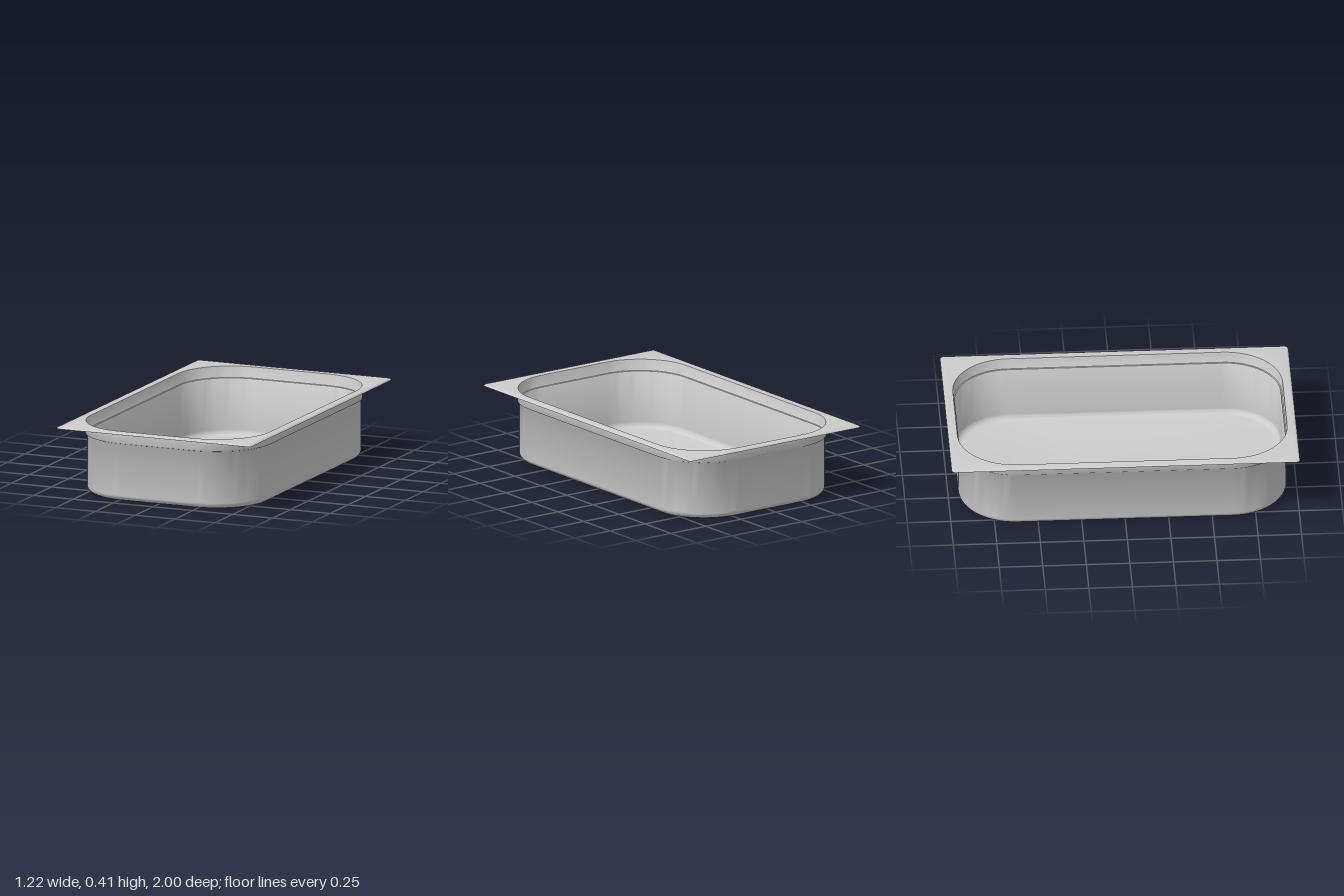
import * as THREE from 'three';
import { toCreasedNormals } from 'three/addons/utils/BufferGeometryUtils.js';

const material = new THREE.MeshStandardMaterial({ color: 0xcccccc });
const ARC = 16; // segments per rounded corner

// Horizontal rounded rectangle with half sizes hx, hz and corner radius r
function ring(hx, hz, r, y) {
  const points = [];
  for (let q = 0; q < 4; q++) {
    const sx = q === 0 || q === 3 ? 1 : -1;
    const sz = q < 2 ? 1 : -1;
    for (let i = 0; i <= ARC; i++) {
      const a = (q + i / ARC) * Math.PI / 2;
      points.push([sx * (hx - r) + r * Math.cos(a), y, sz * (hz - r) + r * Math.sin(a)]);
    }
  }
  return points;
}

// Ring of the basin wall, inset d from the mouth
const wall = (d, y) => ring(0.565 - d, 0.952 - d, 0.335 - d, y);
// Ring of the flange edge, inset d from its outermost line
const edge = (d, y) => ring(0.612 - d, 1 - d, 0.022 - d, y);
const centre = (y) => ring(0, 0, 0, y);

// Quarter-round between floor and wall, listed from floor to wall
function fillet(d, y, r) {
  return Array.from({ length: 9 }, (_, i) => {
    const a = i / 8 * Math.PI / 2;
    return wall(d + r * (1 - Math.sin(a)), y + r * (1 - Math.cos(a)));
  });
}

// Skin through successive rings; rising rings face outward
function loft(name, rings) {
  const n = rings[0].length;
  const index = [];
  for (let i = 0; i < rings.length - 1; i++) {
    for (let j = 0; j < n; j++) {
      const a = i * n + j, c = i * n + (j + 1) % n;
      index.push(a, a + n, c, a + n, c + n, c);
    }
  }
  const geometry = new THREE.BufferGeometry();
  geometry.setAttribute('position', new THREE.Float32BufferAttribute(rings.flat(2), 3));
  geometry.setIndex(index);
  const mesh = new THREE.Mesh(toCreasedNormals(geometry, 0.6), material);
  mesh.name = name;
  return mesh;
}

export function createModel() {
  const pan = new THREE.Group();
  pan.name = 'pan';

  // Outside: floor, rounded base, wall, stacking step and collar
  pan.add(loft('outerShell', [
    centre(0), ...fillet(0.01, 0, 0.04),
    wall(0.01, 0.335), wall(0.008, 0.338), wall(0.002, 0.34), wall(0, 0.344),
    wall(0, 0.406),
  ]));

  // Flat flange with a slightly turned-down outer edge
  pan.add(loft('rim', [
    wall(0, 0.406), edge(0.01, 0.406), edge(0.003, 0.402), edge(0, 0.403),
    edge(0.003, 0.408), edge(0.008, 0.412), edge(0.012, 0.413),
    wall(0.002, 0.413),
  ]));

  // Inside: softened mouth, collar, step, wall and rounded floor
  pan.add(loft('innerBasin', [
    wall(0.002, 0.413), wall(0.005, 0.412), wall(0.007, 0.408),
    wall(0.007, 0.35), wall(0.009, 0.346), wall(0.015, 0.344), wall(0.017, 0.341),
    ...fillet(0.017, 0.007, 0.035).reverse(), centre(0.007),
  ]));
  return pan;
}
